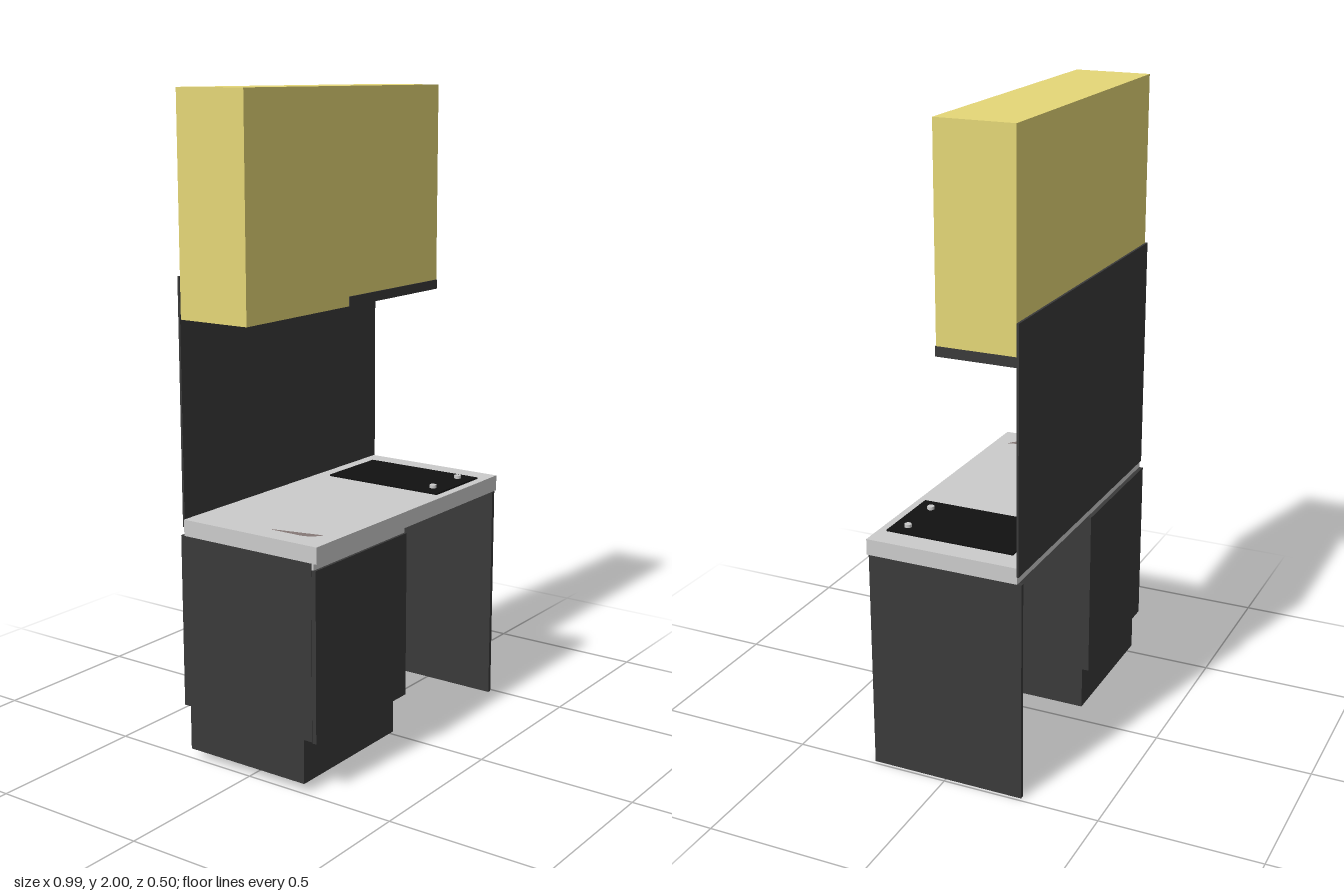
import * as THREE from 'three';

const material = (color) => new THREE.MeshStandardMaterial({ color });

export function createModel() {
  const model = new THREE.Group();
  model.name = 'kitchenette';

  const yellow = material(0xe5d777);
  const dark = material(0x3a3a3a);
  const grey = material(0xcccccc);
  const black = material(0x111111);
  const brown = material(0x857876);

  // Box given by its extents along each axis
  const box = (name, mat, [x0, x1], [y0, y1], [z0, z1]) => {
    const mesh = new THREE.Mesh(new THREE.BoxGeometry(x1 - x0, y1 - y0, z1 - z0), mat);
    mesh.position.set((x0 + x1) / 2, (y0 + y1) / 2, (z0 + z1) / 2);
    mesh.name = name;
    model.add(mesh);
    return mesh;
  };

  // Wall cabinet: deeper left half, shorter right half with the hood below
  box('wallCabinetLeft', yellow, [-0.493, 0], [1.345, 2], [-0.236, 0.006]);
  box('wallCabinetRight', yellow, [0, 0.493], [1.375, 2], [-0.236, 0.006]);
  box('extractorHood', dark, [0.001, 0.494], [1.345, 1.375], [-0.236, 0.009]);

  // Back panel between worktop and wall cabinet
  box('backsplash', dark, [-0.495, 0.495], [0.725, 1.47], [-0.244, -0.237]);

  // Worktop and the panel carrying its open end
  box('worktop', grey, [-0.498, 0.49], [0.7, 0.75], [-0.237, 0.249]);
  box('sidePanel', dark, [0.476, 0.489], [0, 0.7], [-0.25, 0.243]);

  // Base cabinet on a recessed plinth
  box('baseCabinet', dark, [-0.497, -0.035], [0.165, 0.7], [-0.25, 0.23]);
  box('cabinetDoor', dark, [-0.497, -0.035], [0.162, 0.68], [0.231, 0.245]);
  box('topRail', grey, [-0.496, -0.036], [0.68, 0.7], [0.23, 0.237]);
  box('plinth', dark, [-0.496, -0.036], [0.028, 0.165], [-0.228, 0.2]);

  // Hob with two control knobs
  box('hob', black, [0.168, 0.415], [0.75, 0.755], [-0.19, 0.222]);
  for (const x of [0.223, 0.37]) {
    const knob = new THREE.Mesh(new THREE.CylinderGeometry(0.011, 0.011, 0.01, 24), grey);
    knob.position.set(x, 0.76, 0.174);
    knob.name = 'hobKnob';
    model.add(knob);
  }

  // Flat curved inlay on the worktop (shape y runs towards the back)
  const outline = new THREE.Shape();
  outline.moveTo(-0.434, -0.04);
  outline.lineTo(-0.434, -0.142);
  outline.quadraticCurveTo(-0.432, -0.182, -0.394, -0.199);
  outline.lineTo(-0.43, -0.04);
  const inlay = new THREE.Mesh(new THREE.ShapeGeometry(outline, 12), brown);
  inlay.rotation.x = -Math.PI / 2;
  inlay.position.y = 0.7515;
  inlay.name = 'worktopInlay';
  model.add(inlay);

  return model;
}
